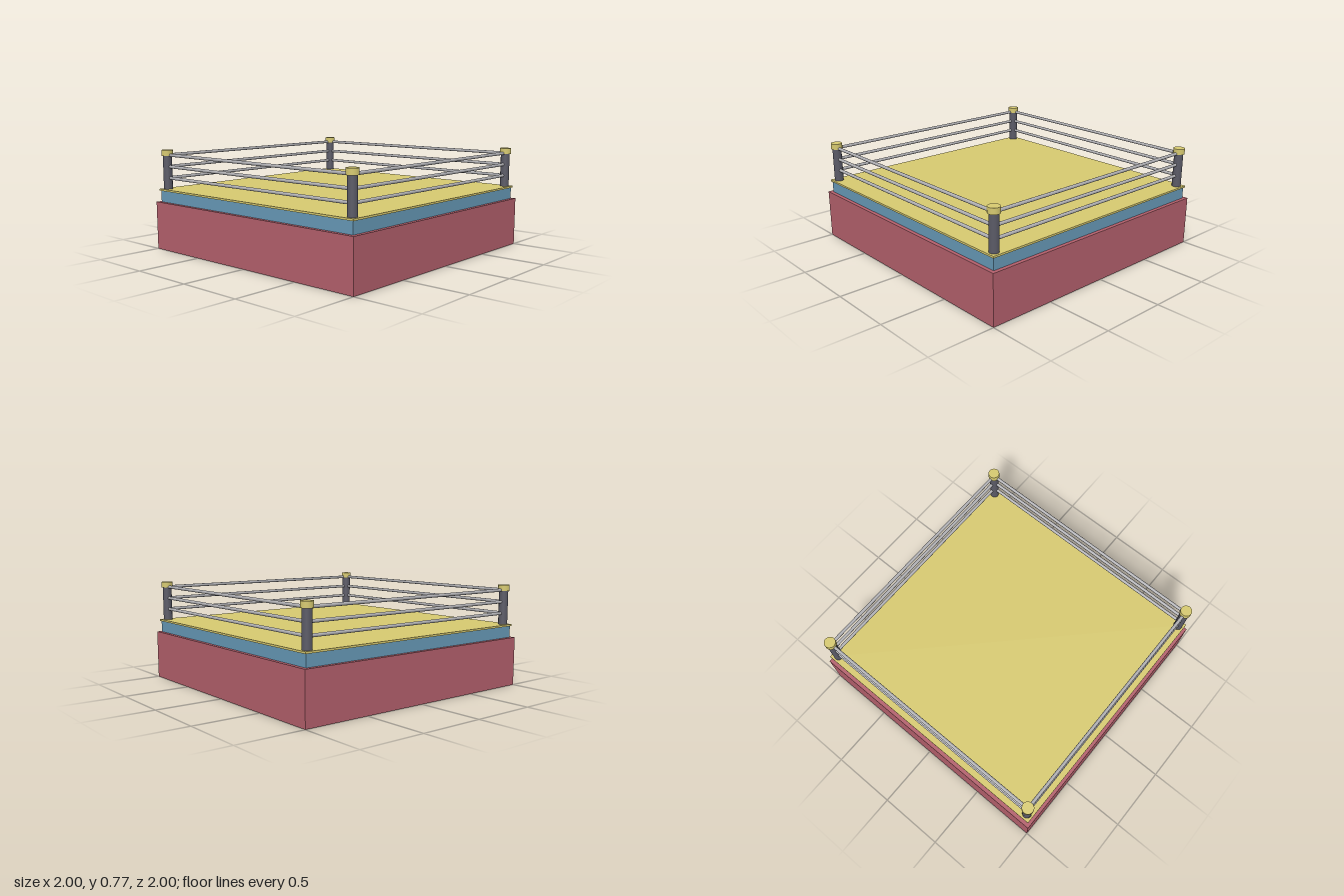
import * as THREE from 'three';

const material = (color) => new THREE.MeshStandardMaterial({ color });

export function createModel() {
  const ring = new THREE.Group();
  ring.name = 'fightingRing';
  const red = material(0xb25f6b);
  const blue = material(0x6698b6);
  const yellow = material(0xd6c970);
  const dark = material(0x5a5a66);
  const steel = material(0xb0b0b4);

  const add = (name, geometry, mat, x, y, z) => {
    const mesh = new THREE.Mesh(geometry, mat);
    mesh.name = name;
    mesh.position.set(x, y, z);
    ring.add(mesh);
    return mesh;
  };

  // Square layers stacked from the ground up: bottom and top heights
  const slab = (name, width, y0, y1, mat) =>
    add(name, new THREE.BoxGeometry(width, y1 - y0, width), mat, 0, (y0 + y1) / 2, 0);
  slab('base', 2, 0, 0.37, red);
  slab('apron', 1.944, 0.37, 0.457, blue);
  slab('mat', 1.962, 0.457, 0.471, yellow);

  // Corner posts with caps
  const corner = 0.933;
  const postGeometry = new THREE.CylinderGeometry(0.034, 0.034, 0.262, 24);
  const capGeometry = new THREE.CylinderGeometry(0.043, 0.043, 0.044, 24);
  for (const sx of [-1, 1]) {
    for (const sz of [-1, 1]) {
      add('cornerPost', postGeometry, dark, sx * corner, 0.6, sz * corner);
      add('postCap', capGeometry, yellow, sx * corner, 0.75, sz * corner);
    }
  }

  // Three ropes on each of the four sides
  const ropeGeometry = new THREE.CylinderGeometry(0.012, 0.012, 2 * corner, 12);
  for (const y of [0.556, 0.644, 0.733]) {
    for (const s of [-1, 1]) {
      add('rope', ropeGeometry, steel, 0, y, s * corner).rotation.z = Math.PI / 2;
      add('rope', ropeGeometry, steel, s * corner, y, 0).rotation.x = Math.PI / 2;
    }
  }
  return ring;
}
